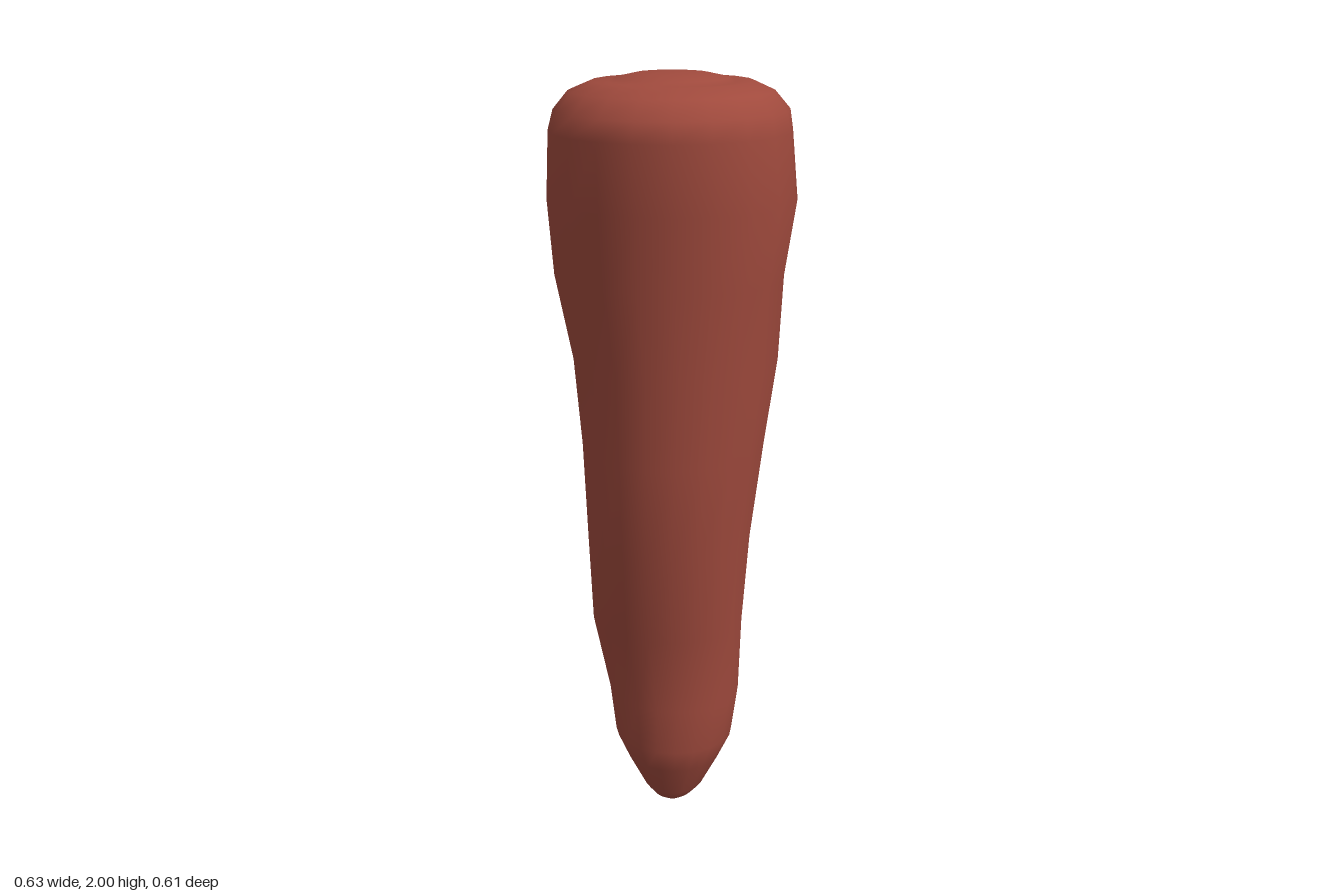
import * as THREE from 'three';

const SIDES = 20;

// Rings from tip to crown: [y, x min, x max, z back, z front]
const RINGS = [
  [0.005, -0.015, 0.015, -0.03, 0.01],
  [0.03, -0.052, 0.052, -0.07, 0.05],
  [0.06, -0.078, 0.08, -0.1, 0.075],
  [0.15, -0.127, 0.127, -0.128, 0.112],
  [0.22, -0.16, 0.16, -0.17, 0.142],
  [0.34, -0.18, 0.175, -0.187, 0.136],
  [0.55, -0.22, 0.188, -0.172, 0.158],
  [0.8, -0.22, 0.21, -0.186, 0.215],
  [1.05, -0.235, 0.237, -0.243, 0.234],
  [1.28, -0.256, 0.27, -0.26, 0.248],
  [1.5, -0.3, 0.285, -0.256, 0.265],
  [1.69, -0.315, 0.313, -0.29, 0.291],
  [1.86, -0.305, 0.296, -0.304, 0.306],
  [1.91, -0.292, 0.288, -0.297, 0.296],
  [1.955, -0.255, 0.25, -0.255, 0.255],
  [1.978, -0.2, 0.2, -0.2, 0.2],
  [1.975, -0.155, 0.155, -0.155, 0.155],
  [1.985, -0.14, 0.14, -0.14, 0.14],
  [1.996, -0.09, 0.09, -0.09, 0.09],
];

// Smooth skin lofted through elliptical rings, closed by a point at each end
function loft(rings, bottomY, topY) {
  const pos = [];
  const index = [];
  for (const [y, x0, x1, z0, z1] of rings) {
    for (let i = 0; i < SIDES; i++) {
      const a = (i / SIDES) * Math.PI * 2;
      pos.push(
        (x0 + x1) / 2 + ((x1 - x0) / 2) * Math.cos(a),
        y,
        (z0 + z1) / 2 + ((z1 - z0) / 2) * Math.sin(a)
      );
    }
  }
  const bottom = rings.length * SIDES;
  const top = bottom + 1;
  pos.push(0, bottomY, -0.01, 0, topY, 0);
  for (let i = 0; i < SIDES; i++) {
    const j = (i + 1) % SIDES;
    for (let r = 0; r < rings.length - 1; r++) {
      const a = r * SIDES, b = a + SIDES;
      index.push(a + i, b + i, a + j, a + j, b + i, b + j);
    }
    const last = (rings.length - 1) * SIDES;
    index.push(bottom, i, j, top, last + j, last + i);
  }
  const geo = new THREE.BufferGeometry();
  geo.setAttribute('position', new THREE.Float32BufferAttribute(pos, 3));
  geo.setIndex(index);
  geo.computeVertexNormals();
  return geo;
}

export function createModel() {
  const group = new THREE.Group();
  group.name = 'taperedRoot';
  // Lumpy tapered body with a rounded crown and a low button on top
  const body = new THREE.Mesh(
    loft(RINGS, 0, 2),
    new THREE.MeshStandardMaterial({ color: 0xa04a3d })
  );
  body.name = 'rootBody';
  group.add(body);
  return group;
}
